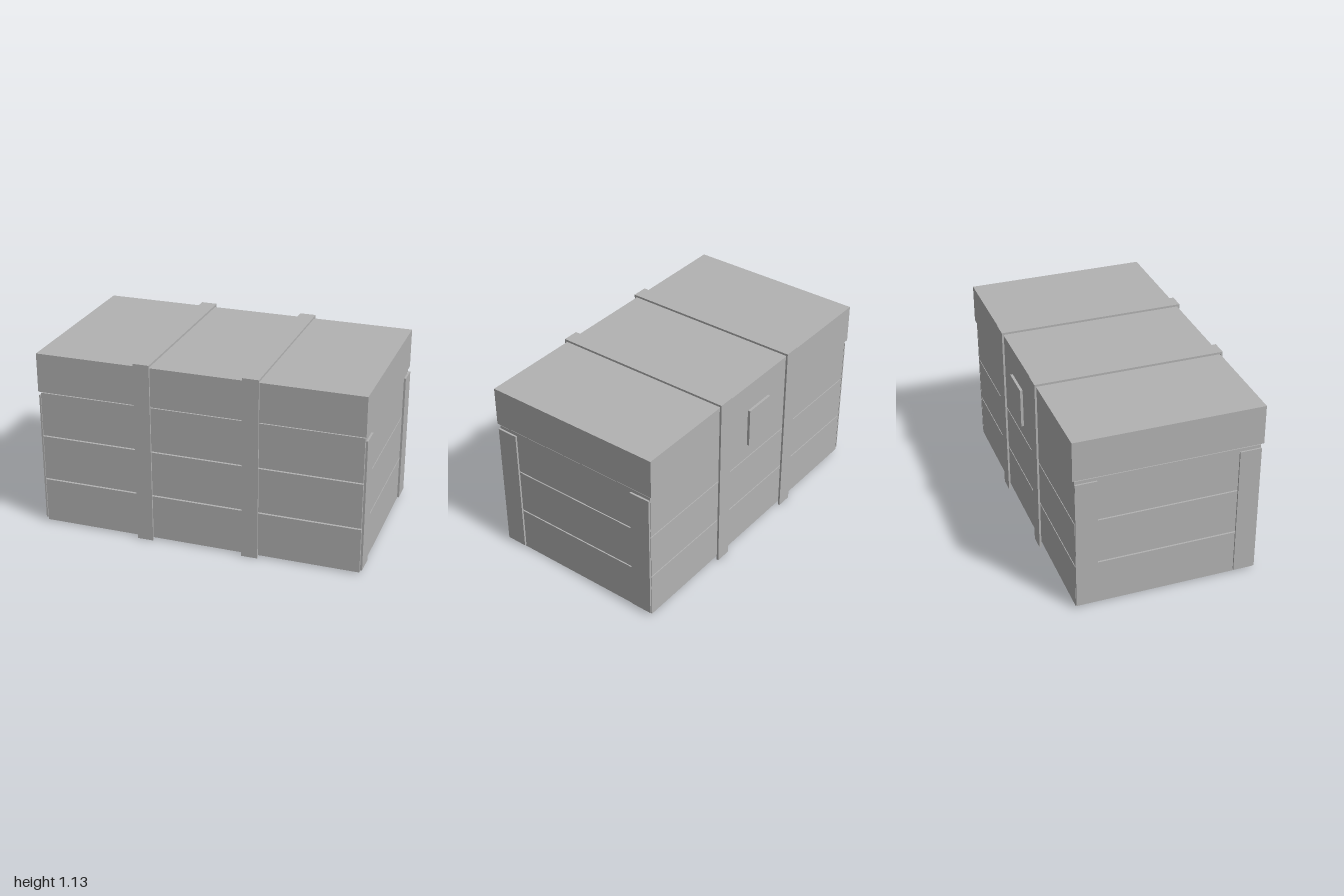
import * as THREE from 'three';

export function createModel() {
  const model = new THREE.Group();
  model.name = 'strappedCrate';
  const grey = new THREE.MeshStandardMaterial({ color: 0xb2b2b2 });
  grey.name = 'plain grey';

  // Box given by its limits on each axis
  function box(name, [x0, x1], [y0, y1], [z0, z1], parent = model) {
    const mesh = new THREE.Mesh(new THREE.BoxGeometry(x1 - x0, y1 - y0, z1 - z0), grey);
    mesh.position.set((x0 + x1) / 2, (y0 + y1) / 2, (z0 + z1) / 2);
    mesh.name = name;
    parent.add(mesh);
  }

  // Base plate, slightly inset
  box('basePlate', [-0.933, 0.928], [0.004, 0.012], [-0.487, 0.497]);

  // Three plank courses with see-through gaps
  [[0.01, 0.285], [0.294, 0.572], [0.58, 0.855]].forEach((y, i) =>
    box(`plankCourse${i + 1}`, [-0.987, 0.981], y, [-0.544, 0.552]));

  // Overhanging lid
  box('lid', [-0.997, 0.99], [0.866, 1.107], [-0.557, 0.565]);

  // Corner battens on both ends
  for (const x of [[-1, -0.99], [0.985, 0.997]]) {
    for (const z of [[0.422, 0.552], [-0.544, -0.415]]) {
      box('cornerBatten', x, [0.026, 0.838], z);
    }
  }

  // Straps running up the front, over the lid and down the back
  for (const x of [[-0.382, -0.283], [0.275, 0.374]]) {
    const strap = new THREE.Group();
    strap.name = 'strap';
    box('strapFront', x, [0, 1.113], [0.565, 0.576], strap);
    box('strapBack', x, [0, 1.113], [-0.569, -0.557], strap);
    box('strapTop', x, [1.113, 1.126], [-0.569, 0.576], strap);
    model.add(strap);
  }

  // Latch plate on the back
  box('latchPlate', [-0.104, 0.099], [0.695, 0.938], [-0.576, -0.56]);

  return model;
}
